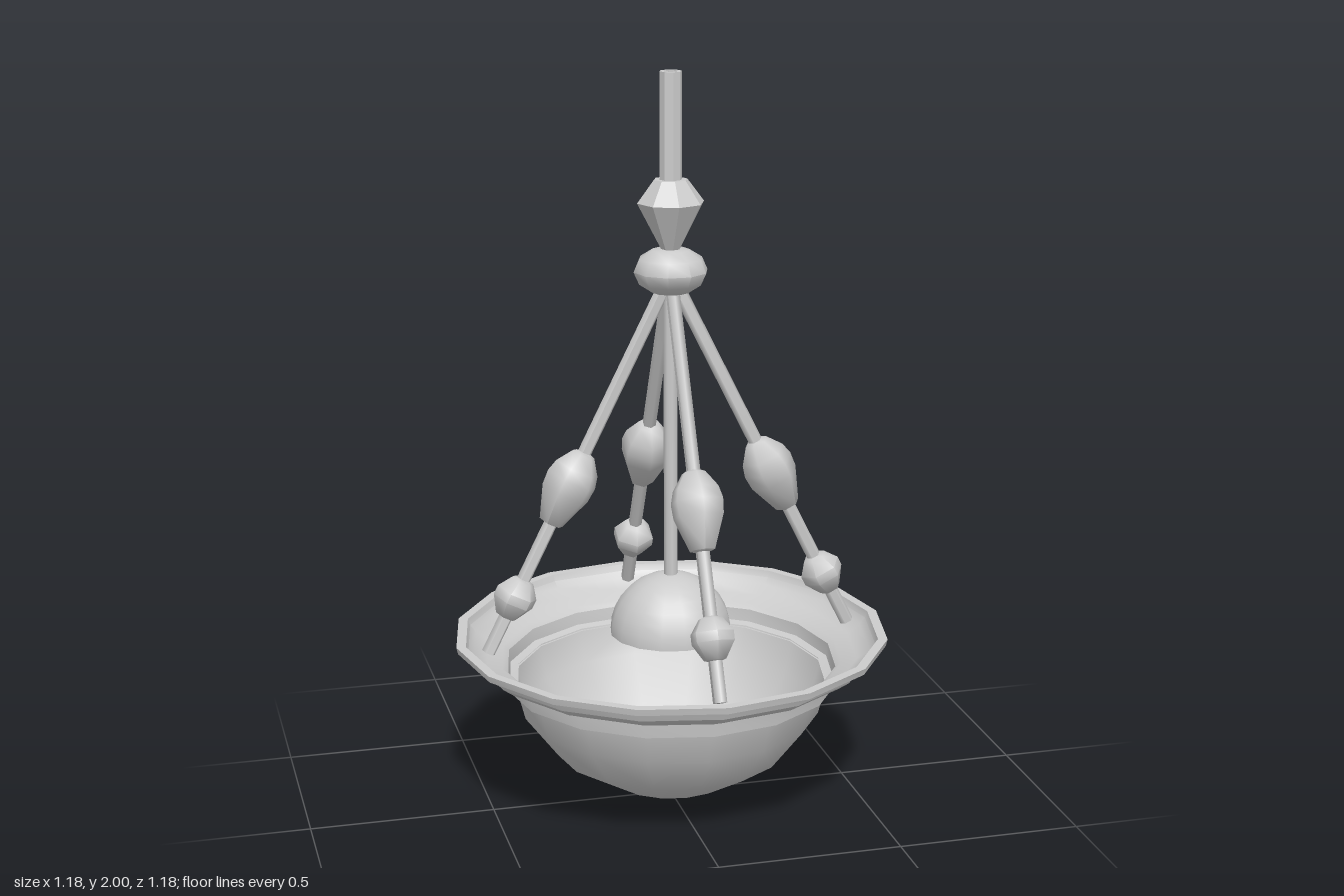
import * as THREE from 'three';
import { toCreasedNormals } from 'three/addons/utils/BufferGeometryUtils.js';

const material = new THREE.MeshStandardMaterial({ color: 0xcccccc, side: THREE.DoubleSide });

// Turned part: profile of [radius, y] from bottom to top
function turned(name, profile, sides, crease = 0.6) {
  const points = profile.map(([r, y]) => new THREE.Vector2(r, y));
  const lathe = new THREE.LatheGeometry(points, sides, Math.PI / 2);
  const mesh = new THREE.Mesh(toCreasedNormals(lathe, crease), material);
  mesh.name = name;
  return mesh;
}

// One sloping arm with its two beads, hanging along local -y
function createArm() {
  const arm = new THREE.Group();
  const rod = turned('armRod', [[0, -1.13], [0.019, -1.13], [0.019, -0.03], [0, -0.03]], 6, 1.1);
  const largeBead = turned('largeBead', [
    [0.018, -0.108], [0.034, -0.104], [0.068, -0.015], [0.071, 0.025],
    [0.062, 0.058], [0.032, 0.1], [0.018, 0.106],
  ], 6, 1.1);
  largeBead.position.y = -0.632;
  const smallBead = turned('smallBead', [
    [0.018, -0.06], [0.03, -0.057], [0.058, -0.012], [0.058, 0.014], [0.032, 0.05], [0.018, 0.055],
  ], 6, 1.1);
  smallBead.position.y = -0.962;
  arm.add(rod, largeBead, smallBead);
  arm.position.y = 1.47;
  arm.rotation.z = Math.atan2(0.505, 1.01);
  return arm;
}

export function createModel() {
  const model = new THREE.Group();
  model.name = 'pendantLamp';

  // Shallow shade with a moulded rim
  model.add(turned('bowl', [
    [0, 0.025], [0.05, 0.027], [0.17, 0.052], [0.317, 0.14], [0.407, 0.257], [0.432, 0.352],
  ], 16));
  model.add(turned('rim', [
    [0.425, 0.348], [0.458, 0.348], [0.463, 0.385], [0.478, 0.397], [0.515, 0.408],
    [0.545, 0.43], [0.556, 0.455], [0.588, 0.462], [0.592, 0.48], [0.566, 0.48],
    [0.56, 0.462], [0.545, 0.445], [0.51, 0.42], [0.468, 0.408], [0.452, 0.395],
    [0.448, 0.36], [0.425, 0.355],
  ], 16, 0.5));
  model.add(turned('bottomButton', [[0, 0], [0.012, 0.008], [0.035, 0.016], [0.037, 0.03]], 12));

  // Domed cover inside the bowl, on the central rod
  const dome = new THREE.Mesh(
    new THREE.SphereGeometry(0.166, 16, 8, 0, Math.PI * 2, 0, Math.PI / 2), material);
  dome.name = 'innerDome';
  dome.position.y = 0.476;
  model.add(dome);
  model.add(turned('centralRod', [[0.019, 0.62], [0.019, 1.45]], 8, 1));

  // Four arms, one on each side
  for (let i = 0; i < 4; i++) {
    const pivot = new THREE.Group();
    pivot.name = 'arm' + (i + 1);
    pivot.rotation.y = (i * Math.PI) / 2;
    pivot.add(createArm());
    model.add(pivot);
  }

  // Flattened hub, faceted spindle and hollow stem
  model.add(turned('hub', [
    [0, 1.415], [0.05, 1.422], [0.085, 1.445], [0.1, 1.478], [0.085, 1.512], [0.05, 1.534], [0, 1.54],
  ], 10, 1));
  model.add(turned('spindle', [
    [0, 1.53], [0.022, 1.53], [0.09, 1.66], [0.045, 1.72], [0.02, 1.72],
  ], 8, 0.3));
  model.add(turned('stem', [
    [0.03, 1.7], [0.03, 2], [0.019, 2], [0.019, 1.7],
  ], 8, 0.3));

  return model;
}
